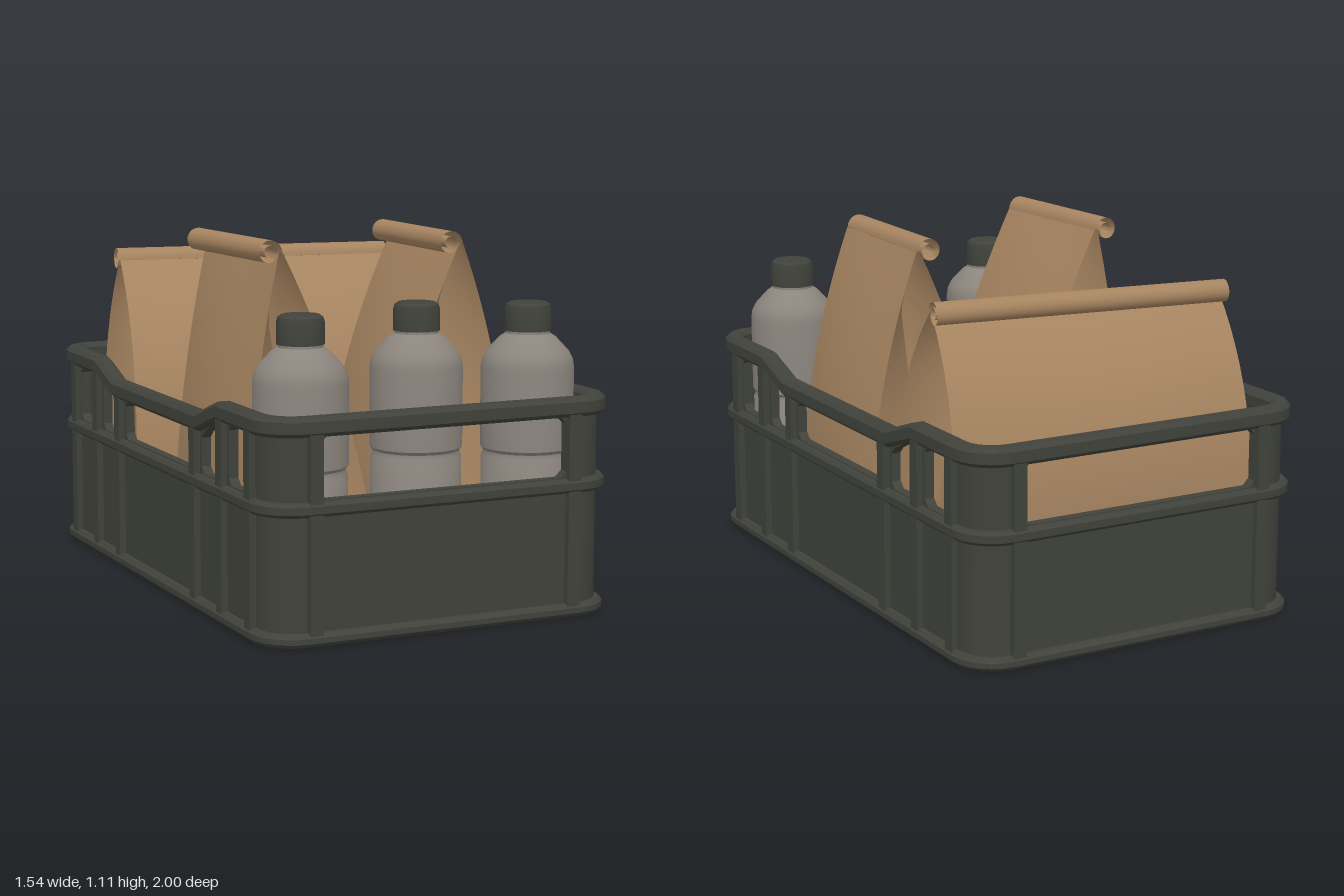
import * as THREE from 'three';
import { toCreasedNormals } from 'three/addons/utils/BufferGeometryUtils.js';

const mat = (name, color, side = THREE.FrontSide) => {
  const m = new THREE.MeshStandardMaterial({ color, side });
  m.name = name;
  return m;
};
const plastic = mat('dark plastic', 0x40423b);
const paper = mat('brown paper', 0xa68460, THREE.DoubleSide);
const bottleGrey = mat('bottle grey', 0x8c857e);

// Crate plan: straight half lengths A (x) and B (z), plus corner radius R
const A = 0.443, B = 0.778, R = 0.13, DIP = 0.055;
const V = (x, y, z) => new THREE.Vector3(x, y, z);

function mesh(name, geometry, material, parent) {
  const m = new THREE.Mesh(geometry, material);
  m.name = name;
  parent.add(m);
  return m;
}

// Skin over rows of points
function loft(rows, closeRows, closeCols, crease = 0.6) {
  const n = rows.length, c = rows[0].length, index = [];
  for (let i = 0; i < (closeRows ? n : n - 1); i++) {
    for (let j = 0; j < (closeCols ? c : c - 1); j++) {
      const i2 = (i + 1) % n, j2 = (j + 1) % c;
      const a = i * c + j, b = i2 * c + j, d = i2 * c + j2, e = i * c + j2;
      index.push(a, b, d, a, d, e);
    }
  }
  const g = new THREE.BufferGeometry().setFromPoints(rows.flat());
  g.setIndex(index);
  return toCreasedNormals(g, crease);
}

// Height drop of the rim along the long sides
const drop = z => -DIP * THREE.MathUtils.clamp((0.52 - Math.abs(z)) / 0.16, 0, 1);

// Perimeter stations: arc centre and outward direction
function cornerStations(k) {
  const cx = k === 0 || k === 3 ? A : -A, cz = k < 2 ? B : -B, out = [];
  for (let i = 0; i <= 6; i++) {
    const t = (k + i / 6) * Math.PI / 2;
    out.push({ cx, cz, nx: Math.cos(t), nz: Math.sin(t) });
  }
  return out;
}
function ringStations() {
  const breaks = [-0.52, -0.36, 0.36, 0.52];
  const side = s => breaks.map(z => ({ cx: s * A, cz: s * z, nx: s, nz: 0 }));
  return [...cornerStations(0), ...cornerStations(1), ...side(-1),
    ...cornerStations(2), ...cornerStations(3), ...side(1)];
}

// Bevelled band between insets d0..d1 and heights y0..y1
function band(stations, d0, d1, y0, y1, b, dips, closed) {
  const section = [[d0 + b, y1], [d0, y1 - b], [d0, y0 + b], [d0 + b, y0],
    [d1 - b, y0], [d1, y0 + b], [d1, y1 - b], [d1 - b, y1]];
  const rows = stations.map(s => section.map(([d, y]) =>
    V(s.cx + s.nx * (R - d), y + (dips ? drop(s.cz) : 0), s.cz + s.nz * (R - d))));
  return loft(rows, closed, true);
}

// Window hole with clipped corners; its top may follow the rim
function windowHole(u0, u1, t0, t1) {
  const c = 0.02, y = 0.42;
  return new THREE.Path([[u0 + c, y], [u1 - c, y], [u1, y + c], [u1, t1 - c],
    [u1 - c, t1], [u0 + c, t0], [u0, t0 - c], [u0, y + c]].map(p => new THREE.Vector2(...p)));
}

function makeCrate() {
  const crate = new THREE.Group();
  crate.name = 'crate';
  const ring = ringStations();
  mesh('topRail', band(ring, 0, 0.06, 0.603, 0.66, 0.012, true, true), plastic, crate);
  mesh('middleRail', band(ring, 0, 0.045, 0.375, 0.417, 0.01, false, true), plastic, crate);
  mesh('bottomRail', band(ring, 0, 0.045, 0, 0.04, 0.012, false, true), plastic, crate);

  // Floor slab
  const plan = new THREE.Shape(ring.map(s =>
    new THREE.Vector2(s.cx + s.nx * (R - 0.012), s.cz + s.nz * (R - 0.012))));
  const floor = new THREE.ExtrudeGeometry(plan, { depth: 0.034, bevelEnabled: false });
  floor.rotateX(Math.PI / 2).translate(0, 0.035, 0);
  mesh('floor', floor, plastic, crate);

  for (let k = 0; k < 4; k++) {
    mesh('cornerWall', band(cornerStations(k), 0.025, 0.055, 0.01, 0.625, 0.001, false, false), plastic, crate);
  }

  // Long walls with five windows, short walls with one
  const top = 0.625;
  const longShape = new THREE.Shape([[-B, 0.01], [B, 0.01], [B, top], [0.52, top], [0.36, top - DIP],
    [-0.36, top - DIP], [-0.52, top], [-B, top]].map(p => new THREE.Vector2(...p)));
  const rim = u => 0.602 + drop(u);
  longShape.holes.push(windowHole(-0.29, 0.29, rim(0), rim(0)));
  for (const [a, b] of [[0.36, 0.5], [0.57, 0.72]]) {
    longShape.holes.push(windowHole(a, b, rim(a), rim(b)), windowHole(-b, -a, rim(b), rim(a)));
  }
  const shortShape = new THREE.Shape([[-A, 0.01], [A, 0.01], [A, top], [-A, top]]
    .map(p => new THREE.Vector2(...p)));
  shortShape.holes.push(windowHole(-0.4, 0.4, 0.602, 0.602));

  const walls = [
    ['longWall', longShape, A + R, Math.PI / 2, [0.325, 0.535, 0.745]],
    ['shortWall', shortShape, B + R, 0, [0.42]],
  ];
  for (const [name, shape, dist, turn, ribs] of walls) {
    for (const flip of [0, Math.PI]) {
      const wall = new THREE.Group();
      wall.name = name;
      wall.rotation.y = turn + flip;
      crate.add(wall);
      const panel = new THREE.ExtrudeGeometry(shape, { depth: 0.03, bevelEnabled: false });
      mesh('panel', panel.translate(0, 0, dist - 0.055), plastic, wall);
      for (const u of ribs) for (const s of [-1, 1]) {
        const h = 0.61 + (turn ? drop(u) : 0);
        const rib = mesh('rib', new THREE.BoxGeometry(0.042, h, 0.035), plastic, wall);
        rib.position.set(s * u, 0.01 + h / 2, dist - 0.022);
      }
    }
  }
  crate.rotation.y = THREE.MathUtils.degToRad(16);
  return crate;
}

// Gusseted paper bag: w half width, D half depth, neck = lean of the top, p = fullness
function makeBag({ name, x, z, turn, w, D, top, neck, p }) {
  const bag = new THREE.Group();
  bag.name = name;
  const base = 0.04, rows = [], r = 0.042;
  for (let i = 0; i <= 18; i++) {
    const s = i / 18, y = base + (top - base) * s;
    const d = D * (1 - s ** p) + 0.006;
    const ww = w * (1 + 0.05 * (1 - s));
    const g = 0.75 * Math.sqrt(Math.max(0, D * D - Math.min(d, D) ** 2));
    const c = neck * s ** 1.5, row = [];
    for (const f of [1, -1]) {
      for (let j = 0; j <= 8; j++) {
        const u = 1 - j / 4;
        const bulge = 0.025 * (1 - u * u) * Math.sin(Math.PI * s);
        row.push(V(f * u * ww, y, c + f * (d + bulge)));
      }
      // Side folded inwards
      for (const q of [0.5, 0, -0.5]) {
        row.push(V(-f * (ww - g * (1 - Math.abs(q)) ** 1.3), y, c + f * q * d));
      }
    }
    rows.push(row);
  }
  mesh('body', loft(rows, false, true, 0.7), paper, bag);

  // Rolled closure
  const roll = [];
  for (const u of [-1, -0.5, 0, 0.5, 1]) {
    const row = [];
    for (let j = 0; j <= 40; j++) {
      const a = j / 40 * Math.PI * 3.6, k = r * (1 - 0.7 * j / 40);
      row.push(V(u * w * 1.01, top + Math.sin(a) * k, neck - r + 0.004 + Math.cos(a) * k));
    }
    roll.push(row);
  }
  mesh('rolledTop', loft(roll, false, false, 0.8), paper, bag);
  bag.position.set(x, 0, z);
  bag.rotation.y = THREE.MathUtils.degToRad(turn);
  return bag;
}

function makeBottle(x, z) {
  const bottle = new THREE.Group();
  bottle.name = 'bottle';
  const lathe = pts => toCreasedNormals(
    new THREE.LatheGeometry(pts.map(q => new THREE.Vector2(...q)), 32), 0.6);
  mesh('body', lathe([[0, 0.04], [0.125, 0.04], [0.137, 0.055], [0.137, 0.46], [0.132, 0.468], [0.132, 0.48],
    [0.14, 0.49], [0.14, 0.73], [0.136, 0.755], [0.124, 0.778], [0.085, 0.82], [0.066, 0.832], [0.066, 0.85]]),
  bottleGrey, bottle);
  mesh('cap', lathe([[0.05, 0.84], [0.07, 0.84], [0.07, 0.905], [0.066, 0.918], [0.056, 0.925], [0, 0.925]]),
    plastic, bottle);
  bottle.position.set(x, 0, z);
  return bottle;
}

export function createModel() {
  const model = new THREE.Group();
  model.name = 'crateWithBagsAndBottles';
  model.add(makeCrate());
  model.add(makeBag({ name: 'largeBag', x: -0.13, z: -0.48, turn: 8, w: 0.465, D: 0.265, top: 0.968, neck: -0.04, p: 3.6 }));
  model.add(makeBag({ name: 'rightBag', x: -0.175, z: 0.23, turn: 109, w: 0.25, D: 0.215, top: 1.077, neck: -0.1, p: 1.8 }));
  model.add(makeBag({ name: 'leftBag', x: 0.31, z: 0.04, turn: 104.5, w: 0.25, D: 0.21, top: 1.077, neck: 0.035, p: 2.1 }));
  for (const [x, z] of [[-0.17, 0.77], [0.22, 0.51], [0.55, 0.56]]) model.add(makeBottle(x, z));
  return model;
}
